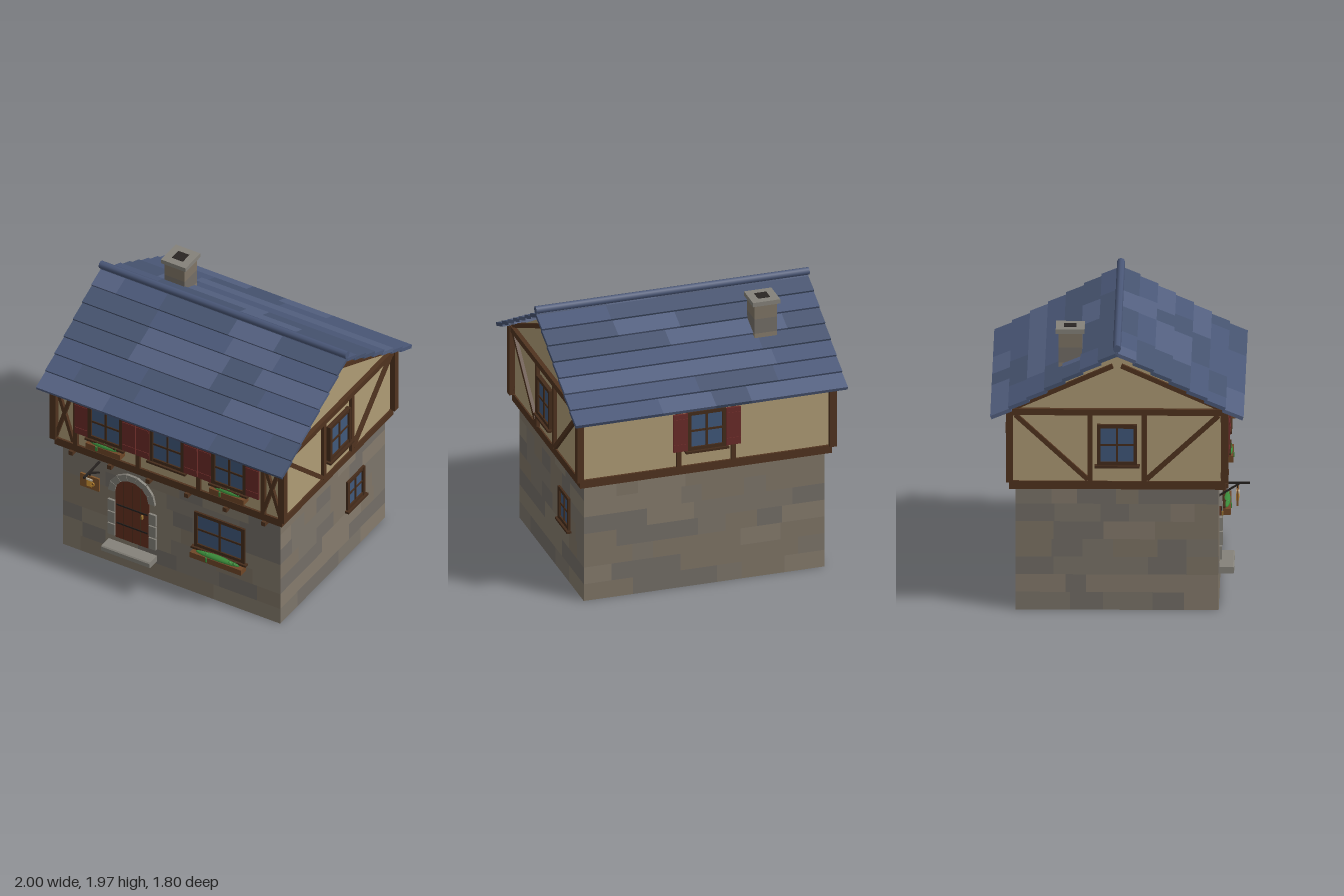
import * as THREE from 'three';
import { mergeGeometries } from 'three/addons/utils/BufferGeometryUtils.js';

const mat = (color, side = THREE.FrontSide) => new THREE.MeshStandardMaterial({ color, side });
const M = {
  timber: mat(0x50331f), frame: mat(0x452c1b), plaster: mat(0xae9b75, THREE.DoubleSide),
  glass: mat(0x40587a, THREE.DoubleSide), shutter: mat(0x6a2b28), box: mat(0x6f4727),
  leaf: mat(0x3a8a3a), door: mat(0x63301f), trim: mat(0x85827a), iron: mat(0x25211f),
  sign: mat(0x80552b), beer: mat(0xd79a35), foam: mat(0xe8dfc8), brass: mat(0x9a7433), soot: mat(0x2a2523),
};
const STONES = [0x7c756a, 0x857b6c, 0x746e67, 0x7f7566].map(c => mat(c, THREE.DoubleSide));
const TILES = [0x4a5777, 0x46536f, 0x536080].map(c => mat(c));

function seeded(seed) {
  return () => (seed = (seed * 16807) % 2147483647) / 2147483647;
}
function add(parent, name, geometry, material, x = 0, y = 0, z = 0) {
  const m = new THREE.Mesh(geometry, material);
  m.name = name;
  m.position.set(x, y, z);
  parent.add(m);
  return m;
}
const bar = (p, name, material, w, h, d, x, y, z = 0) =>
  add(p, name, new THREE.BoxGeometry(w, h, d), material, x, y, z);
// Timber laid on a wall from one point to another
function strut(p, name, x0, y0, x1, y1, width = 0.032) {
  const m = bar(p, name, M.timber, Math.hypot(x1 - x0, y1 - y0), width, 0.04, (x0 + x1) / 2, (y0 + y1) / 2, 0.004);
  m.rotation.z = Math.atan2(y1 - y0, x1 - x0);
}
// Split a length into uneven pieces: calls back with centre and width
function pieces(length, rnd, min, span, fn) {
  for (let x = -length / 2; x < length / 2 - 1e-4;) {
    let w = min + rnd() * span;
    if (length / 2 - x - w < min) w = length / 2 - x;
    fn(x + w / 2, w);
    x += w;
  }
}
// Wall frame: local x along the wall, local z outward
function wall(parent, name, angle, distance) {
  const g = new THREE.Group();
  g.name = name;
  g.rotation.y = angle;
  g.position.set(Math.sin(angle) * distance, 0, Math.cos(angle) * distance);
  parent.add(g);
  return g;
}
function group(parent, name, x, y, z = 0) {
  const g = new THREE.Group();
  g.name = name;
  g.position.set(x, y, z);
  parent.add(g);
  return g;
}
function makeWindow(parent, x, y, w, h, z = 0) {
  const g = group(parent, 'window', x, y, z), t = 0.026;
  add(g, 'glass', new THREE.PlaneGeometry(w, h), M.glass, 0, 0, 0.003);
  for (const s of [-1, 1]) {
    bar(g, 'frameSide', M.frame, t, h, 0.034, s * (w - t) / 2, 0, 0);
    bar(g, 'frameRail', M.frame, w, t, 0.03, 0, s * (h - t) / 2, 0);
  }
  bar(g, 'mullion', M.frame, 0.015, h, 0.02, 0, 0, 0);
  bar(g, 'crossbar', M.frame, w, 0.015, 0.018, 0, 0, 0);
  bar(g, 'sill', M.frame, w + 0.035, 0.016, 0.05, 0, -h / 2 - 0.007, 0.007);
}
function shutters(parent, y, x, h) {
  for (const s of [-1, 1]) {
    const g = group(parent, 'shutter', x + s * 0.193, y, 0.032);
    bar(g, 'shutterBoard', M.shutter, 0.106, h, 0.016, 0, 0);
    for (const b of [-1, 1]) bar(g, 'shutterBatten', M.shutter, 0.1, 0.02, 0.024, 0, b * h * 0.34);
  }
}
function planter(parent, x, y, w) {
  const g = group(parent, 'flowerBox', x, y);
  bar(g, 'trough', M.box, w, 0.046, 0.068, 0, 0, 0.034);
  add(g, 'foliage', new THREE.SphereGeometry(1, 16, 8), M.leaf, 0, 0.026, 0.036).scale.set(w * 0.43, 0.022, 0.028);
  for (const s of [-0.2, 0.25, 0.33])
    add(g, 'sprig', new THREE.IcosahedronGeometry(0.014, 0), M.leaf, s * w, 0.036, 0.042);
  bar(g, 'trailingVine', M.leaf, 0.014, 0.035, 0.01, -w * 0.18, 0.006, 0.07);
}

function stoneStorey(house) {
  const rnd = seeded(41), course = 0.9 / 7, sets = STONES.map(() => []);
  for (let f = 0; f < 4; f++) {
    const width = f % 2 ? 1.41 : 1.76, out = f % 2 ? 0.88 : 0.705;
    for (let r = 0; r < 7; r++) pieces(width, rnd, 0.14, 0.24, (x, w) => {
      const g = new THREE.PlaneGeometry(w, course).translate(x, (r + 0.5) * course, out).rotateY(f * Math.PI / 2);
      sets[Math.floor(rnd() * 4)].push(g);
    });
  }
  sets.forEach((s, i) => add(house, 'stoneWall', mergeGeometries(s), STONES[i]));

  const front = wall(house, 'groundFront', 0, 0.705);
  makeWindow(front, 0.395, 0.57, 0.41, 0.3);
  planter(front, 0.395, 0.376, 0.415);
  makeWindow(wall(house, 'groundSide', Math.PI / 2, 0.88), 0.297, 0.532, 0.23, 0.246);

  // Arched door with stone surround
  const d = group(front, 'doorway', -0.315, 0), r = 0.137, spring = 0.64;
  const leaf = new THREE.Shape().moveTo(-r, 0.24).lineTo(r, 0.24).lineTo(r, spring);
  leaf.absarc(0, spring, r, 0, Math.PI);
  add(d, 'door', new THREE.ExtrudeGeometry(leaf, { depth: 0.008, bevelEnabled: false, curveSegments: 16 }), M.door);
  for (const x of [-0.068, 0, 0.068]) bar(d, 'boardGap', M.frame, 0.004, 0.5, 0.003, x, 0.49, 0.008);
  for (const y of [0.37, 0.53]) bar(d, 'ironStrap', M.iron, 0.25, 0.012, 0.006, 0, y, 0.009);
  bar(d, 'doorHandle', M.brass, 0.012, 0.03, 0.02, 0.085, 0.5, 0.014);
  for (let i = 0; i < 7; i++) {
    const a = i * Math.PI / 7 + 0.008, b = (i + 1) * Math.PI / 7 - 0.008, R = 0.19;
    const s = new THREE.Shape([[r, a], [R, a], [R, b], [r, b]].map(([q, t]) =>
      new THREE.Vector2(q * Math.cos(t), spring + q * Math.sin(t))));
    add(d, 'archStone', new THREE.ExtrudeGeometry(s, { depth: 0.02, bevelEnabled: false }), M.trim);
  }
  for (const s of [-1, 1]) for (let i = 0; i < 3; i++)
    bar(d, 'jambStone', M.trim, 0.058, 0.094, 0.036, s * 0.166, 0.3 + i * 0.104, 0);
  const step = new THREE.Shape([[0, 0.15], [0.094, 0.15], [0.102, 0.158], [0.102, 0.19], [0.094, 0.198], [0, 0.198]]
    .map(p => new THREE.Vector2(...p)));
  add(d, 'doorStep', new THREE.ExtrudeGeometry(step, { depth: 0.39, bevelEnabled: false }), M.trim, 0.195)
    .rotation.y = -Math.PI / 2;

  // Hanging sign on an iron bracket
  const s = group(front, 'hangingSign', -0.585, 0);
  bar(s, 'bracketArm', M.iron, 0.014, 0.014, 0.212, 0, 0.835, 0.106);
  bar(s, 'bracketBrace', M.iron, 0.012, 0.012, 0.17, 0, 0.788, 0.072).rotation.x = -0.56;
  bar(s, 'hanger', M.iron, 0.008, 0.04, 0.008, 0, 0.815, 0.127);
  bar(s, 'signBoard', M.sign, 0.15, 0.11, 0.014, 0, 0.745, 0.127);
  for (const side of [-1, 1]) {
    bar(s, 'mugBody', M.beer, 0.042, 0.054, 0.006, 0, 0.738, 0.127 + side * 0.008);
    bar(s, 'mugFoam', M.foam, 0.048, 0.016, 0.008, 0, 0.771, 0.127 + side * 0.008);
    add(s, 'mugHandle', new THREE.TorusGeometry(0.015, 0.004, 6, 12), M.beer, 0.024, 0.738, 0.127 + side * 0.008);
  }
}

function timberStorey(house) {
  const upperY = 1.218, winH = 0.295, half = 0.735;
  // Ring beam and corner posts
  for (const s of [-1, 1]) {
    bar(house, 'ringBeam', M.timber, 1.84, 0.06, 0.07, 0, 0.92, s * 0.716);
    bar(house, 'ringBeam', M.timber, 0.07, 0.058, 1.5, s * 0.886, 0.92, 0);
    for (const t of [-1, 1]) bar(house, 'cornerPost', M.timber, 0.05, 0.525, 0.05, s * 0.925, 1.207, t * 0.747);
  }
  // Front and back walls
  for (let f = 0; f < 2; f++) {
    const g = wall(house, f ? 'upperBack' : 'upperFront', f * Math.PI, half);
    add(g, 'plaster', new THREE.PlaneGeometry(1.82, 0.58), M.plaster, 0, 1.18);
    bar(g, 'wallPlate', M.timber, 1.84, 0.04, 0.04, 0, 1.44, 0.004);
    for (const x of f ? [-0.2, 0.2] : [-0.75, -0.245, 0.245, 0.77]) strut(g, 'stud', x, 0.95, x, 1.44);
    for (const x of f ? [0] : [-0.5, 0, 0.5]) {
      makeWindow(g, x, upperY, 0.28, winH, 0.02);
      shutters(g, upperY, x, 0.285);
    }
    if (f) continue;
    for (const s of [-1, 1]) {
      strut(g, 'crossBrace', s * 0.91, 0.97, s * 0.77, 1.42, 0.026);
      strut(g, 'crossBrace', s * 0.91, 1.42, s * 0.77, 0.97, 0.026);
      planter(g, s * 0.5, 1.024, 0.28);
    }
    for (let i = 0; i < 6; i++) bar(g, 'joistEnd', M.timber, 0.03, 0.034, 0.07, -0.78 + i * 0.312, 0.876, 0);
  }
  // Gable walls
  const outline = new THREE.Shape([[-half, 0.89], [half, 0.89], [half, 1.465], [0, 1.875], [-half, 1.465]]
    .map(p => new THREE.Vector2(...p)));
  for (const side of [-1, 1]) {
    const g = wall(house, 'gable', side * Math.PI / 2, 0.91);
    add(g, 'plaster', new THREE.ShapeGeometry(outline), M.plaster);
    bar(g, 'tieBeam', M.timber, 1.5, 0.044, 0.05, 0, 1.457, 0.008);
    for (const s of [-1, 1]) {
      strut(g, 'stud', s * 0.188, 0.95, s * 0.188, 1.44, 0.036);
      strut(g, 'brace', s * 0.205, 0.965, s * 0.705, 1.43);
      strut(g, 'rafter', s * 0.725, 1.48, s * 0.03, 1.79);
    }
    makeWindow(g, 0, upperY, 0.28, winH, 0.02);
  }
}

function roof(house) {
  const rnd = seeded(7), pitch = 0.1243;
  for (let side = 0; side < 2; side++) {
    const slope = wall(house, side ? 'roofBack' : 'roofFront', side * Math.PI, 0);
    for (let i = 0; i < 7; i++) {
      const z = pitch * (i + 0.5) - 0.003;
      const row = group(slope, 'roofCourse', 0, 1.9 - 0.546 * z, z);
      row.rotation.x = 0.39;
      pieces(1.99, rnd, 0.2, 0.5, (x, w) => bar(row, 'roofBoard', TILES[Math.floor(rnd() * 3)], w, 0.026, 0.152, x, 0));
    }
  }
  add(house, 'ridgeCap', new THREE.CylinderGeometry(0.028, 0.028, 2, 8), TILES[0], 0, 1.938, 0).rotation.z = Math.PI / 2;

  // Chimney
  const c = group(house, 'chimney', -0.55, 0, -0.33);
  for (let i = 0; i < 4; i++) bar(c, 'chimneyStone', STONES[i], 0.165, 0.11, 0.165, 0, 1.555 + i * 0.11);
  const capShape = new THREE.Shape([[-1, -1], [1, -1], [1, 1], [-1, 1]].map(([x, y]) => new THREE.Vector2(x * 0.1, y * 0.1)));
  capShape.holes.push(new THREE.Path([[-1, -1], [-1, 1], [1, 1], [1, -1]].map(([x, y]) => new THREE.Vector2(x * 0.044, y * 0.044))));
  add(c, 'chimneyCap', new THREE.ExtrudeGeometry(capShape, { depth: 0.032, bevelEnabled: false }), M.trim, 0, 1.935)
    .rotation.x = -Math.PI / 2;
  bar(c, 'flue', M.soot, 0.088, 0.036, 0.088, 0, 1.952);
}

export function createModel() {
  const model = new THREE.Group();
  model.name = 'timberFramedInn';
  const house = group(model, 'house', 0, 0, -0.018);
  stoneStorey(house);
  timberStorey(house);
  roof(house);
  return model;
}
